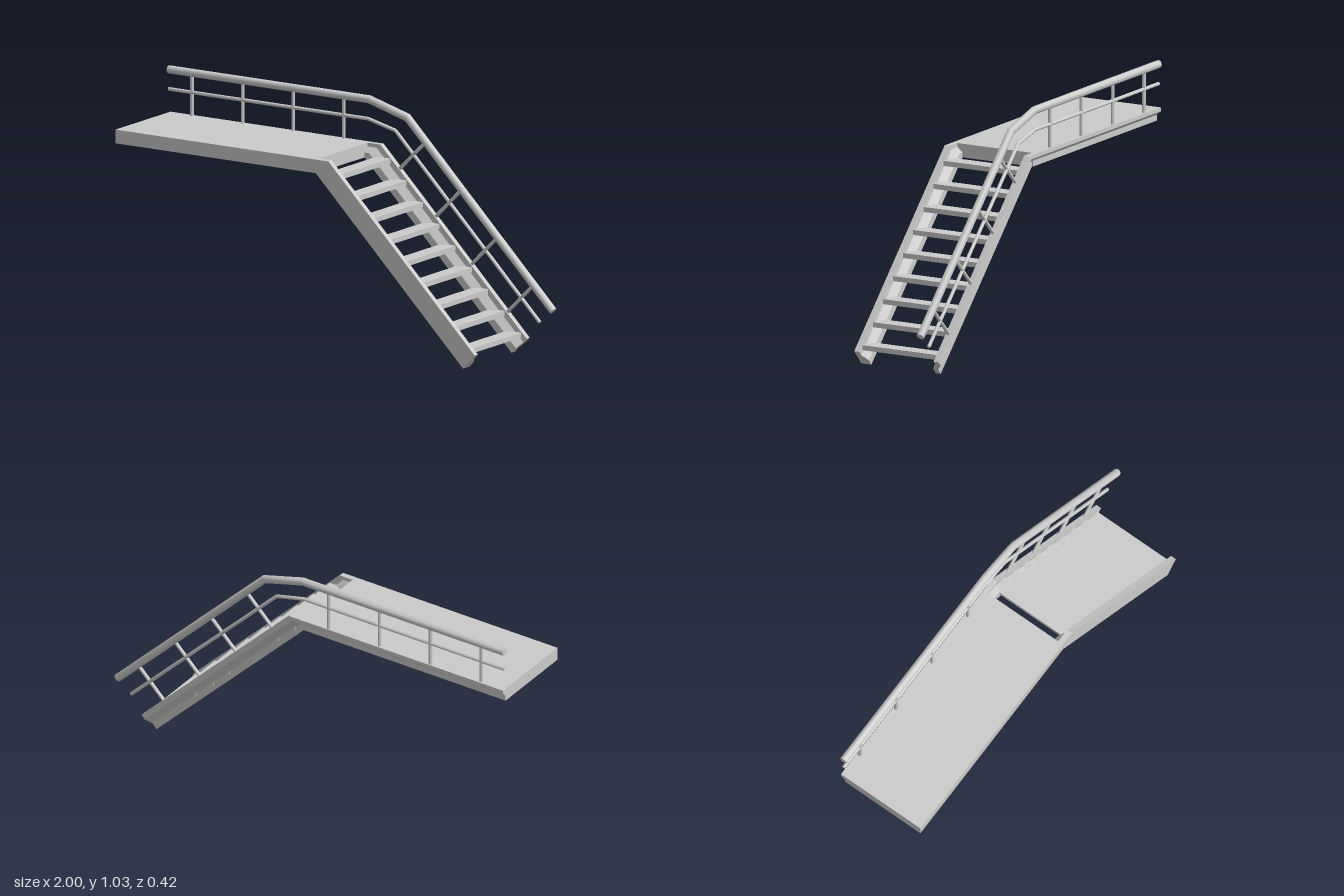
import * as THREE from 'three';
import { toCreasedNormals } from 'three/addons/utils/BufferGeometryUtils.js';

const material = new THREE.MeshStandardMaterial({ color: 0xcccccc });

// Skins a list of rings (equal point counts) and closes both ends.
// outline holds the 2D cross-section, counter-clockwise, for the end caps.
function loft(rings, outline) {
  const n = outline.length, last = (rings.length - 1) * n, index = [];
  for (let r = 0; r < rings.length - 1; r++) {
    for (let i = 0; i < n; i++) {
      const a = r * n + i, b = r * n + (i + 1) % n;
      index.push(a, b, b + n, a, b + n, a + n);
    }
  }
  for (const [i, j, k] of THREE.ShapeUtils.triangulateShape(outline, [])) {
    index.push(k, j, i, last + i, last + j, last + k);
  }
  const geometry = new THREE.BufferGeometry();
  geometry.setAttribute('position', new THREE.Float32BufferAttribute(rings.flat(2), 3));
  geometry.setIndex(index);
  return toCreasedNormals(geometry, 0.6);
}

// Round bar along an [x, y] path at constant z, with mitred bends.
function bar(path, z, radius, sides = 16) {
  const points = path.map(([x, y]) => new THREE.Vector2(x, y));
  const outline = [];
  for (let i = 0; i < sides; i++) {
    const a = i / sides * Math.PI * 2;
    outline.push(new THREE.Vector2(Math.cos(a) * radius, Math.sin(a) * radius));
  }
  const rings = points.map((p, i) => {
    const before = p.clone().sub(points[Math.max(i - 1, 0)]).normalize();
    const after = points[Math.min(i + 1, points.length - 1)].clone().sub(p).normalize();
    const t = before.clone().add(after).normalize();
    const stretch = 1 / Math.max(t.dot(before), t.dot(after));
    return outline.map(o => [p.x - t.y * o.y * stretch, p.y + t.x * o.y * stretch, z - o.x]);
  });
  return loft(rings, outline);
}

// Side beam: section of [z, height fraction] following the deck and the slope.
function beam(section) {
  const stations = [
    [-1, 0.76, -1, 0.82],
    [0.035, 0.76, 0.1, 0.82],
    [0.795, 0, 0.855, 0.065],
  ];
  const rings = stations.map(([x0, y0, x1, y1]) =>
    section.map(([z, t]) => [x0 + (x1 - x0) * t, y0 + (y1 - y0) * t, z]));
  return loft(rings, section.map(([z, t]) => new THREE.Vector2(-z, t)));
}

export function createModel() {
  const model = new THREE.Group();
  model.name = 'stairsWithLanding';
  const add = (name, geometry, x = 0, y = 0, z = 0) => {
    const mesh = new THREE.Mesh(geometry, material);
    mesh.name = name;
    mesh.position.set(x, y, z);
    model.add(mesh);
  };

  // Landing
  add('landing', new THREE.BoxGeometry(1.035, 0.06, 0.38), -0.4825, 0.79, 0);

  // Side beams; the rear one has a step on its outer face
  add('frontBeam', beam([
    [0.21, 0], [0.16, 0], [0.16, 0.36], [0.185, 0.72], [0.185, 1], [0.21, 1],
  ]));
  add('rearBeam', beam([
    [-0.16, 0], [-0.185, 0], [-0.185, 0.36], [-0.21, 0.72],
    [-0.21, 1], [-0.185, 1], [-0.185, 0.72], [-0.16, 0.36],
  ]));

  // Treads
  for (let i = 0; i < 9; i++) {
    add('tread', new THREE.BoxGeometry(0.07, 0.022, 0.374), 0.117 + i * 0.0842, 0.754 - i * 0.0846, 0);
  }

  // Rails
  const railZ = -0.197;
  add('handrail', bar([[-1, 1.008], [0.035, 1.008], [0.232, 0.953], [0.985, 0.2]], railZ, 0.0175));
  add('midRail', bar([[-1, 0.922], [0.03, 0.922], [0.17, 0.888], [0.916, 0.142]], railZ, 0.008));

  // Posts: upright on the landing, square to the slope on the stairs
  for (let i = 0; i < 4; i++) {
    const x = -0.88 + i * 0.261;
    add('landingPost', bar([[x, 0.81], [x, 1.005]], railZ, 0.008));
    const sx = 0.192 + i * 0.1855, sy = 0.915 - sx;
    add('stairPost', bar([[sx, sy], [sx + 0.133, sy + 0.133]], railZ, 0.008));
  }
  return model;
}
